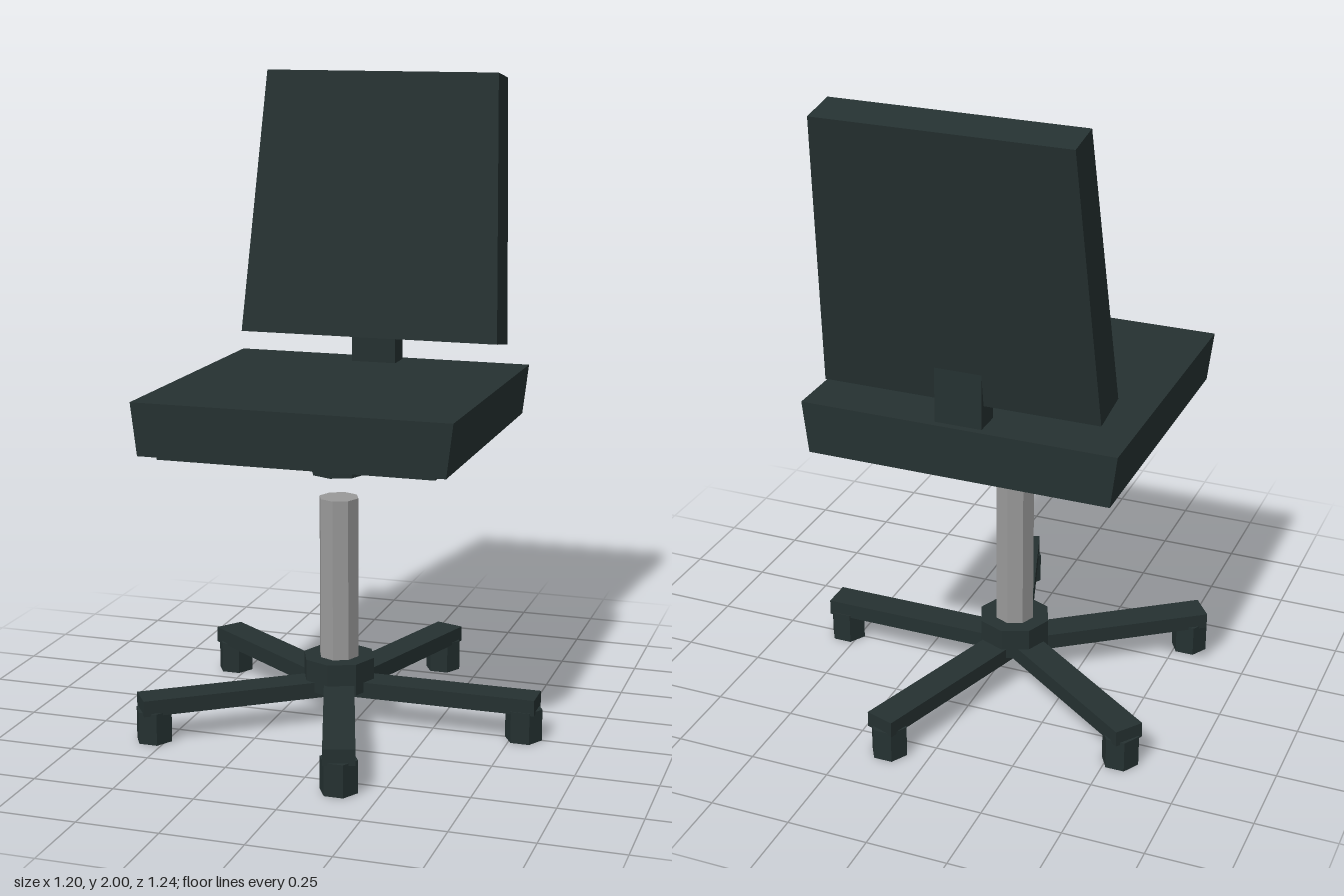
import * as THREE from 'three';

const frame = new THREE.MeshStandardMaterial({ color: 0x253131 });
frame.name = 'darkFrame';
const steel = new THREE.MeshStandardMaterial({ color: 0x999999 });
steel.name = 'greySteel';

// Faceted mesh with hard edges
function part(name, geometry, material, x, y, z) {
  const flat = geometry.toNonIndexed();
  flat.computeVertexNormals();
  const mesh = new THREE.Mesh(flat, material);
  mesh.name = name;
  mesh.position.set(x, y, z);
  return mesh;
}

// Box whose top is scaled in x and z
function taperedBox(w, h, d, topX, topZ) {
  const g = new THREE.BoxGeometry(w, h, d);
  const p = g.attributes.position;
  for (let i = 0; i < p.count; i++) {
    if (p.getY(i) > 0) {
      p.setX(i, p.getX(i) * topX);
      p.setZ(i, p.getZ(i) * topZ);
    }
  }
  return g;
}

const prism = (r, h, sides) => new THREE.CylinderGeometry(r, r, h, sides);

export function createModel() {
  const chair = new THREE.Group();
  chair.name = 'officeChair';
  chair.position.x = -0.058;
  const model = new THREE.Group();
  model.name = 'model';
  model.add(chair);

  // Seat and its underside
  chair.add(part('seat', taperedBox(0.936, 0.16, 0.935, 1.042, 1), frame, 0, 1, 0));
  chair.add(part('seatPlate', new THREE.BoxGeometry(0.85, 0.03, 0.85), frame, 0, 0.918, 0));
  chair.add(part('seatSocket', prism(0.088, 0.11, 8), frame, 0, 0.853, 0));

  // Leaning backrest and its bracket
  const backrest = part('backrest', taperedBox(0.85, 0.844, 0.144, 0.9, 0.87), frame, 0, 1.576, -0.428);
  backrest.rotation.x = -0.165;
  chair.add(backrest);
  chair.add(part('backBracket', new THREE.BoxGeometry(0.145, 0.23, 0.085), frame, 0, 1.165, -0.403));

  // Column and base hub
  chair.add(part('column', prism(0.063, 0.53, 8), steel, 0, 0.455, 0));
  chair.add(part('baseHub', prism(0.115, 0.1, 8), frame, 0, 0.16, 0));

  // Five legs with casters
  for (let i = 0; i < 5; i++) {
    const a = (i * Math.PI * 2) / 5;
    const leg = part('leg', new THREE.BoxGeometry(0.638, 0.05, 0.095), frame,
      Math.cos(a) * 0.319, 0.117, -Math.sin(a) * 0.319);
    leg.rotation.y = a;
    const caster = part('caster', prism(0.058, 0.1, 6), frame,
      Math.cos(a) * 0.596, 0.05, -Math.sin(a) * 0.596);
    caster.rotation.y = Math.PI / 2;
    chair.add(leg, caster);
  }
  return model;
}
